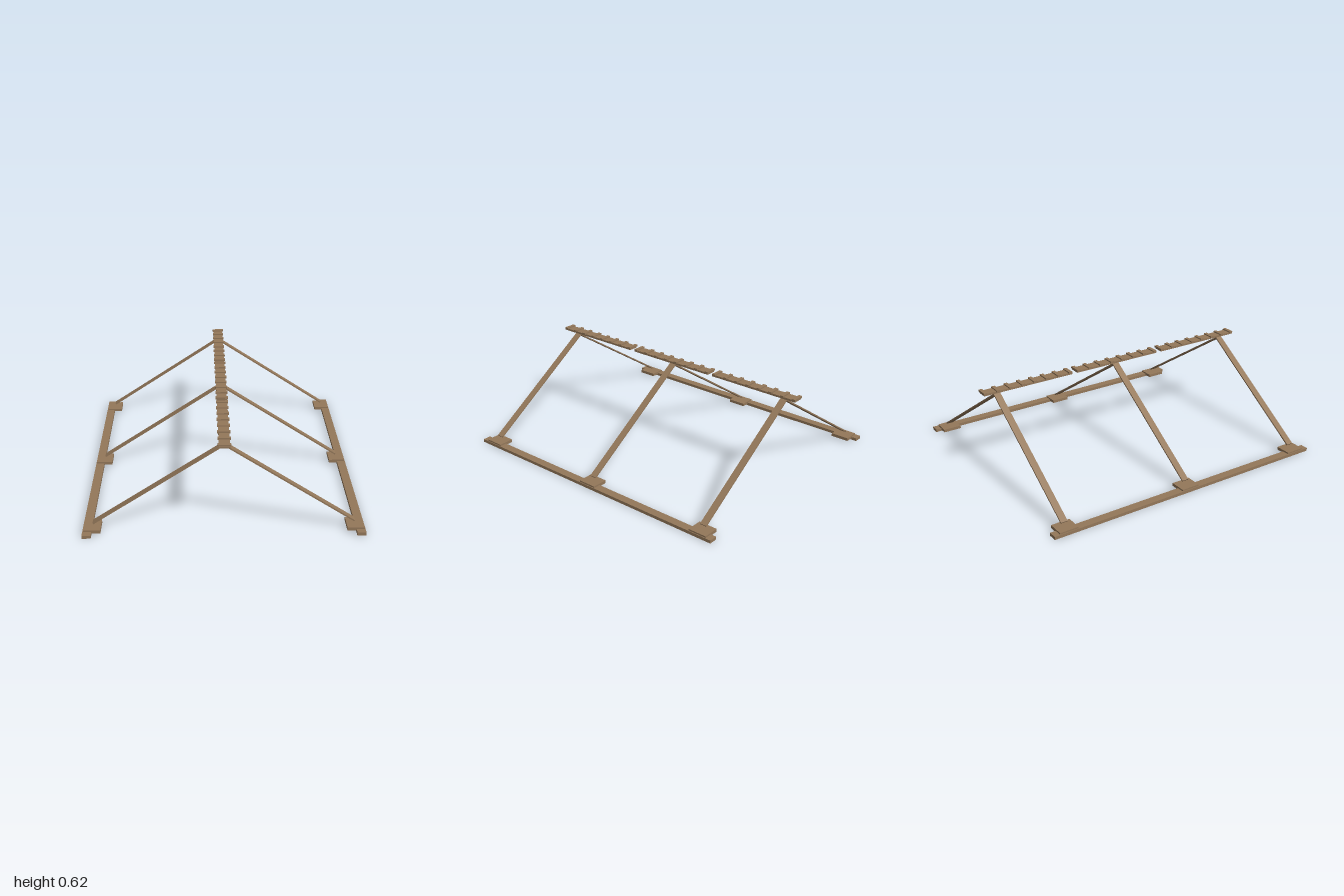
import * as THREE from 'three';

export function createModel() {
  const model = new THREE.Group();
  model.name = 'roofFrame';
  const wood = new THREE.MeshStandardMaterial({ color: 0x94785a });
  wood.name = 'weathered wood';

  // box given by its extents along each axis
  function plank(name, [x0, x1], [y0, y1], [z0, z1], parent = model) {
    const mesh = new THREE.Mesh(new THREE.BoxGeometry(x1 - x0, y1 - y0, z1 - z0), wood);
    mesh.position.set((x0 + x1) / 2, (y0 + y1) / 2, (z0 + z1) / 2);
    mesh.name = name;
    parent.add(mesh);
    return mesh;
  }
  const span = (side, a, b) => (side > 0 ? [a, b] : [-b, -a]);

  const frames = [-0.889, 0.002, 0.894];
  const foot = new THREE.Vector2(0.797, 0.053);
  const peak = new THREE.Vector2(0, 0.578);
  const slope = foot.clone().sub(peak);

  for (const side of [-1, 1]) {
    const label = side > 0 ? 'left' : 'right';

    // long eave rail on the ground
    plank(label + 'EaveRail', span(side, 0.805, 0.86), [0, 0.02], [-0.99, 1]);

    for (const z of frames) {
      // bearing plate lapped over the rail
      plank(label + 'BearingPlate', span(side, 0.75, 0.855), [0.01, 0.03], [z - 0.063, z + 0.063]);

      // thin sloping rafter
      const rafter = new THREE.Mesh(new THREE.BoxGeometry(slope.length(), 0.009, 0.045), wood);
      rafter.name = label + 'Rafter';
      rafter.position.set(side * (foot.x + peak.x) / 2, (foot.y + peak.y) / 2, z);
      rafter.rotation.z = side * Math.atan2(slope.y, slope.x);
      model.add(rafter);
    }
  }

  // three ridge sections, each a strip with eight raised cleats
  for (const z of [-0.675, -0.002, 0.675]) {
    const ridge = new THREE.Group();
    ridge.name = 'ridgeSection';
    ridge.position.z = z;
    model.add(ridge);
    plank('ridgeStrip', [-0.033, 0.033], [0.596, 0.609], [-0.316, 0.32], ridge);
    for (let i = 0; i < 8; i++) {
      const c = -0.308 + i * 0.0873;
      plank('ridgeCleat', [-0.039, 0.039], [0.605, 0.617], [c - 0.012, c + 0.012], ridge);
    }
  }
  return model;
}
